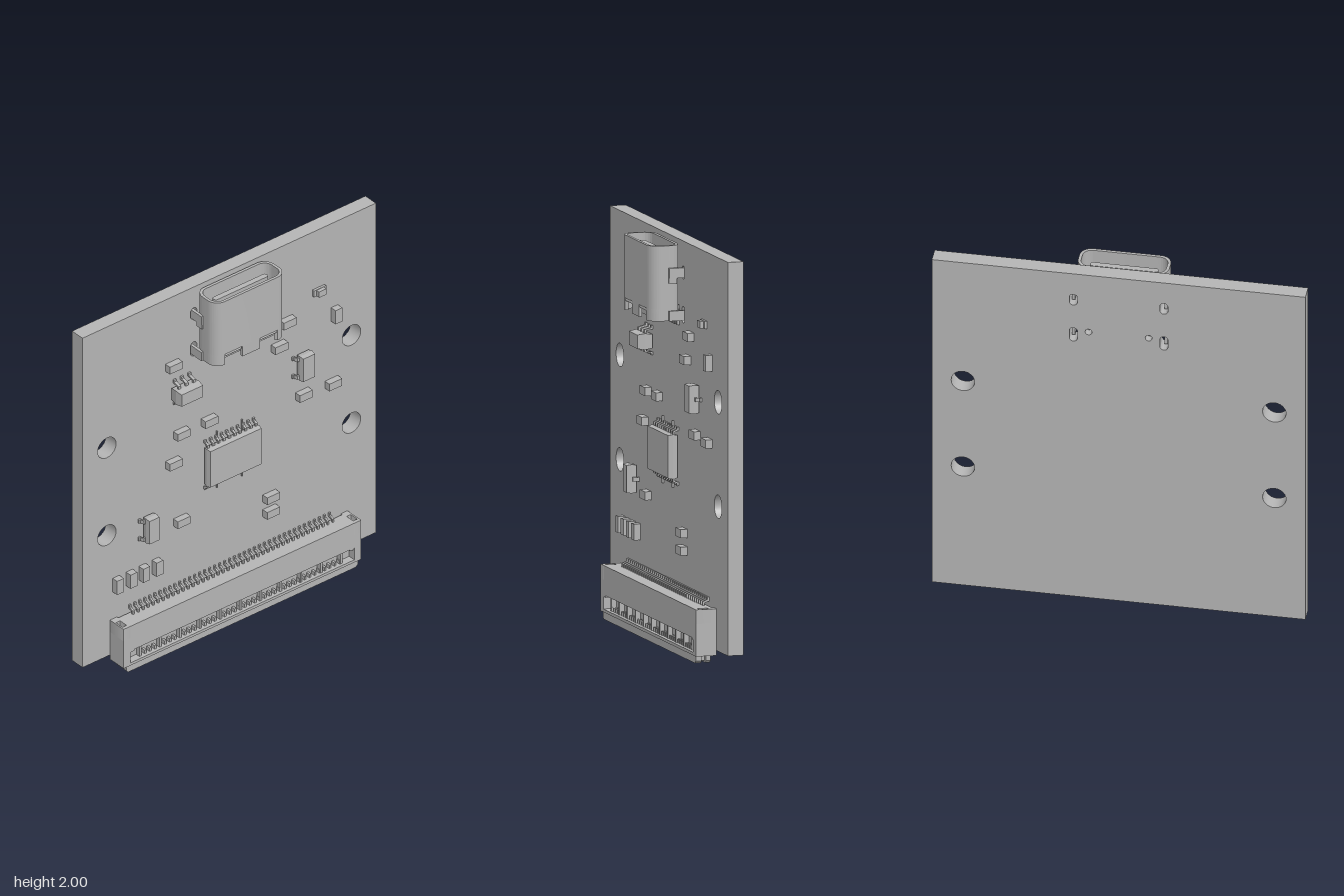
import * as THREE from 'three';
import { toCreasedNormals } from 'three/addons/utils/BufferGeometryUtils.js';

const FACE = -0.045; // front surface of the board

// Rounded rectangle outline centred on (cx, cy)
function roundRect(Type, cx, cy, w, h, r) {
  const s = new Type(), x = w / 2 - r, y = h / 2 - r;
  s.absarc(cx + x, cy + y, r, 0, Math.PI / 2);
  s.absarc(cx - x, cy + y, r, Math.PI / 2, Math.PI);
  s.absarc(cx - x, cy - y, r, Math.PI, Math.PI * 1.5);
  s.absarc(cx + x, cy - y, r, Math.PI * 1.5, Math.PI * 2);
  s.closePath();
  return s;
}

function polygon(points) {
  return new THREE.Shape(points.map(([x, y]) => new THREE.Vector2(x, y)));
}

export function createModel() {
  const model = new THREE.Group();
  const grey = new THREE.MeshStandardMaterial({ color: 0xb4b4b4 });
  grey.name = 'plain grey';

  function group(name) {
    const g = new THREE.Group();
    g.name = name;
    model.add(g);
    return g;
  }
  function add(parent, name, geometry) {
    const m = new THREE.Mesh(geometry, grey);
    m.name = name;
    parent.add(m);
    return m;
  }
  // Box given by its limits on each axis
  function box(parent, name, x0, x1, y0, y1, z0, z1) {
    const g = new THREE.BoxGeometry(x1 - x0, y1 - y0, z1 - z0);
    g.translate((x0 + x1) / 2, (y0 + y1) / 2, (z0 + z1) / 2);
    return add(parent, name, g);
  }
  function extrude(shape, depth) {
    const g = new THREE.ExtrudeGeometry(shape, { depth, bevelEnabled: false, curveSegments: 12 });
    return toCreasedNormals(g, 0.5);
  }
  // Extrude an (x, z) outline from y0 up to y1
  function upright(parent, name, shape, y0, y1) {
    return add(parent, name, extrude(shape, y1 - y0).rotateX(Math.PI / 2).translate(0, y1, 0));
  }
  // Box whose front face is smaller than its base, like moulded chip packages
  function chipBody(parent, x0, x1, y0, y1, z1, taper) {
    const z0 = FACE + 0.008, w = x1 - x0, h = y1 - y0;
    const g = new THREE.BoxGeometry(w, h, z1 - z0, 1, 1, 2);
    const p = g.attributes.position;
    for (let i = 0; i < p.count; i++) {
      if (Math.abs(p.getZ(i)) < 1e-4) continue;
      p.setX(i, p.getX(i) - Math.sign(p.getX(i)) * taper);
      p.setY(i, p.getY(i) - Math.sign(p.getY(i)) * taper);
    }
    g.translate((x0 + x1) / 2, (y0 + y1) / 2, (z0 + z1) / 2);
    const flat = g.toNonIndexed();
    flat.computeVertexNormals();
    return add(parent, 'body', flat);
  }
  // Gull-wing lead: shoulder, drop and foot, running along dir from (x, y)
  function lead(parent, x, y, angle, length, width, height) {
    const t = 0.01, L = length, top = FACE + height;
    const s = polygon([[-0.01, top], [L * 0.45, top], [L * 0.7, FACE + t], [L, FACE + t],
      [L, FACE], [L * 0.5, FACE], [L * 0.3, top - t], [-0.01, top - t]]);
    const g = extrude(s, width).translate(0, 0, -width / 2).rotateX(Math.PI / 2);
    add(parent, 'lead', g.rotateZ(angle).translate(x, y, 0));
  }
  const UP = Math.PI / 2, DOWN = -Math.PI / 2;

  // Circuit board with mounting holes, shell slots and locating holes
  const outline = polygon([[-0.92, 0.065], [0.92, 0.065], [0.92, 2], [-0.92, 2]]);
  for (const s of [-1, 1]) {
    for (const y of [1.29, 0.776]) outline.holes.push(new THREE.Path().absarc(s * 0.767, y, 0.058, 0, Math.PI * 2));
    outline.holes.push(roundRect(THREE.Path, s * 0.223, 1.845, 0.04, 0.064, 0.0199));
    outline.holes.push(roundRect(THREE.Path, s * 0.223, 1.637, 0.04, 0.08, 0.0199));
    outline.holes.push(new THREE.Path().absarc(s * 0.148, 1.66, 0.017, 0, Math.PI * 2));
  }
  add(model, 'board', extrude(outline, 0.08).translate(0, 0, -0.125));

  // Socket at the top: hollow rounded shell with notches at its rear end
  const socket = group('socket');
  const shell = roundRect(THREE.Shape, 0, 0.045, 0.45, 0.16, 0.06);
  shell.holes.push(roundRect(THREE.Path, 0, 0.045, 0.42, 0.13, 0.046));
  upright(socket, 'shell', shell, 1.67, 1.98);
  for (const s of [-1, 1]) {
    const side = new THREE.Shape();
    side.moveTo(0.155, 0.125);
    side.absarc(0.165, 0.065, 0.06, Math.PI / 2, 0, true);
    side.absarc(0.165, 0.025, 0.06, 0, -Math.PI / 2, true);
    side.lineTo(0.155, -0.035);
    side.lineTo(0.155, -0.02);
    side.absarc(0.164, 0.026, 0.046, -Math.PI / 2, 0, false);
    side.absarc(0.164, 0.064, 0.046, 0, Math.PI / 2, false);
    side.lineTo(0.155, 0.11);
    const pts = side.getPoints(8).map(p => [p.x * s, p.y]);
    upright(socket, 'shellCorner', polygon(pts), 1.61, 1.67);
    // Folded legs going down into the board slots
    const edge = s * 0.228;
    box(socket, 'upperLeg', edge - 0.008, edge + 0.008, 1.82, 1.87, -0.09, 0.03);
    box(socket, 'lowerLeg', edge - 0.008, edge + 0.008, 1.61, 1.66, -0.09, 0.03);
    box(socket, 'sideTab', edge - 0.005, edge + 0.005, 1.795, 1.82, -0.01, 0.03);
    // Raised spring lip above each notch
    const lip = new THREE.CapsuleGeometry(0.008, 0.09, 4, 10).rotateZ(Math.PI / 2);
    add(socket, 'lip', lip.translate(s * 0.11, 1.662, 0.118));
    const peg = new THREE.CylinderGeometry(0.014, 0.014, 0.07, 16).rotateX(Math.PI / 2);
    add(socket, 'peg', peg.translate(s * 0.148, 1.66, -0.055));
  }
  box(socket, 'rearTab', -0.055, 0.055, 1.61, 1.67, 0.11, 0.125);
  box(socket, 'insulator', -0.18, 0.18, 1.615, 1.67, -0.035, 0.085);
  upright(socket, 'cavityFloor', roundRect(THREE.Shape, 0, 0.045, 0.425, 0.135, 0.048), 1.67, 1.7);
  upright(socket, 'tongue', roundRect(THREE.Shape, 0, 0.04, 0.335, 0.03, 0.012), 1.7, 1.95);
  for (let i = 0; i < 12; i++) {
    const x = -0.163 + i * 0.0296;
    box(socket, 'contact', x - 0.006, x + 0.006, 1.578, 1.62, FACE, -0.032);
  }

  // Small two-terminal components: horizontal, then vertical
  const passives = group('smallComponents');
  const lying = [[-0.36, 1.602], [0.355, 1.552], [0.302, 1.43], [-0.31, 1.185], [-0.137, 1.185],
    [-0.36, 1.031], [0.455, 1.083], [0.64, 1.071], [-0.31, 0.672], [0.25, 0.571], [0.25, 0.485]];
  const standing = [[0.66, 1.467], [-0.71, 0.468], [-0.626, 0.468], [-0.546, 0.468], [-0.463, 0.468]];
  for (const [x, y] of lying) box(passives, 'component', x - 0.04, x + 0.04, y - 0.021, y + 0.021, FACE, -0.01);
  for (const [x, y] of standing) box(passives, 'component', x - 0.021, x + 0.021, y - 0.04, y + 0.04, FACE, -0.01);

  // Indicator lamp
  const lamp = group('indicatorLamp');
  box(lamp, 'base', 0.522, 0.598, 1.624, 1.662, FACE, -0.032);
  box(lamp, 'lens', 0.537, 0.583, 1.626, 1.66, -0.032, -0.012);

  // Three-lead transistors
  for (const [x, y] of [[0.455, 1.262], [-0.515, 0.724]]) {
    const t = group('transistor');
    const w = x > 0 ? 0.04 : 0.034;
    chipBody(t, x - w, x + w, y - 0.071, y + 0.071, 0.012, 0.004);
    lead(t, x + w, y, 0, 0.024, 0.02, 0.03);
    for (const s of [-1, 1]) lead(t, x - w, y + s * 0.052, Math.PI, 0.024, 0.02, 0.03);
  }

  // Six-lead chip
  const six = group('sixLeadChip');
  chipBody(six, -0.373, -0.228, 1.398, 1.478, 0.04, 0.006);
  for (let i = -1; i <= 1; i++) {
    lead(six, -0.3 + i * 0.046, 1.478, UP, 0.035, 0.016, 0.045);
    lead(six, -0.3 + i * 0.046, 1.398, DOWN, 0.03, 0.016, 0.045);
  }

  // Main chip with ten leads on each long side
  const chip = group('mainChip');
  chipBody(chip, -0.168, 0.162, 0.82, 1.04, 0.01, 0.005);
  for (let i = 0; i < 10; i++) {
    const x = -0.154 + i * 0.0336;
    lead(chip, x, 1.04, UP, 0.034, 0.012, 0.03);
    lead(chip, x, 0.82, DOWN, 0.034, 0.012, 0.03);
  }
  for (const x of [-0.081, 0.076]) {
    box(chip, 'longPad', x - 0.003, x + 0.003, 1.04, 1.095, FACE, -0.035);
    box(chip, 'longPad', x - 0.003, x + 0.003, 0.765, 0.82, FACE, -0.035);
  }

  // Flat cable connector along the bottom edge
  const cable = group('cableConnector');
  box(cable, 'housingTop', -0.705, 0.7, 0.125, 0.27, -0.035, 0.06);
  box(cable, 'housingBack', -0.705, 0.7, 0.04, 0.125, -0.035, 0.02);
  box(cable, 'housingSill', -0.705, 0.7, 0.04, 0.055, 0.02, 0.06);
  for (const s of [-1, 1]) {
    const cx = s * 0.7235 - 0.003;
    // End block with an open pocket in its upper face
    const end = roundRect(THREE.Shape, cx, 0.0075, 0.043, 0.105, 0.001);
    end.holes.push(roundRect(THREE.Path, cx, 0.016, 0.026, 0.05, 0.001));
    upright(cable, 'endBlock', end, 0.2, 0.27);
    box(cable, 'endBlockBase', cx - 0.0215, cx + 0.0215, 0.04, 0.2, FACE, 0.06);
    box(cable, 'windowCorner', cx - s * 0.022 - 0.025, cx - s * 0.022 + 0.025, 0.115, 0.135, 0.02, 0.058);
  }
  for (let i = 0; i < 41; i++) {
    const x = -0.627 + i * 0.0313;
    lead(cable, x, 0.27, UP, 0.042, 0.01, 0.035);
    box(cable, 'contactTip', x - 0.006, x + 0.006, 0.055, 0.075, 0.02, 0.042);
  }
  for (let i = 0; i < 11; i++) {
    const x = -0.63 + i * 0.126;
    box(cable, 'rib', x - 0.006, x + 0.006, 0.055, 0.125, 0.02, 0.045);
  }
  // Locking bar with bevelled ends, below the housing
  const bar = polygon([[-0.727, 0.04], [-0.727, 0.015], [-0.715, 0.003], [0.712, 0.003], [0.725, 0.015], [0.725, 0.04]]);
  add(cable, 'lockingBar', extrude(bar, 0.03).translate(0, 0, 0.025));
  add(cable, 'lockingBarRear', extrude(bar, 0.022).translate(0, 0, -0.02));
  box(cable, 'lockingBarCore', -0.7, 0.7, 0.012, 0.04, 0.002, 0.025);

  return model;
}
